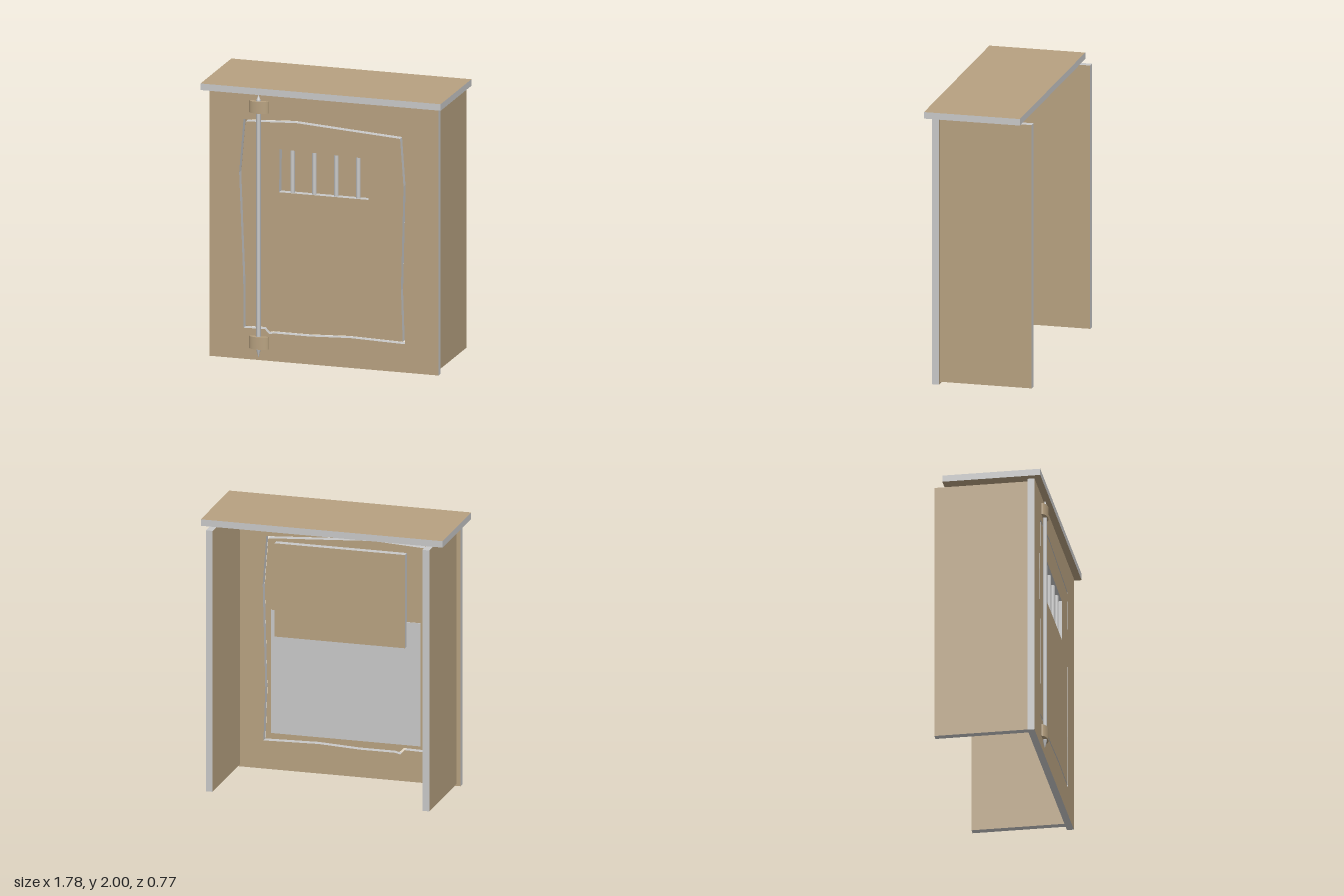
import * as THREE from 'three';

export function createModel() {
  const model = new THREE.Group();
  model.name = 'plywoodCellDoor';

  const wood = new THREE.MeshStandardMaterial({ color: 0xb7a180 });
  wood.name = 'plywood';
  const grey = new THREE.MeshStandardMaterial({ color: 0xc8c8c8 });
  grey.name = 'grey';

  const add = (name, geometry, material, x = 0, y = 0, z = 0) => {
    const mesh = new THREE.Mesh(geometry, material);
    mesh.name = name;
    mesh.position.set(x, y, z);
    model.add(mesh);
    return mesh;
  };

  // Board with wooden faces and grey cut edges; thin axis is 0 = x, 1 = y, 2 = z
  const board = (name, thin, x0, x1, y0, y1, z0, z1) => {
    const mats = Array.from({ length: 6 }, (_, i) => (Math.floor(i / 2) === thin ? wood : grey));
    return add(name, new THREE.BoxGeometry(x1 - x0, y1 - y0, z1 - z0), mats,
      (x0 + x1) / 2, (y0 + y1) / 2, (z0 + z1) / 2);
  };

  const toPoints = (list) => list.map(([x, y]) => new THREE.Vector2(x, y));

  // Mitred offset of a counter-clockwise outline; positive moves outwards
  const offset = (pts, d) => pts.map((p, i) => {
    const a = p.clone().sub(pts[(i + pts.length - 1) % pts.length]).normalize();
    const b = pts[(i + 1) % pts.length].clone().sub(p).normalize();
    const na = new THREE.Vector2(a.y, -a.x);
    const nb = new THREE.Vector2(b.y, -b.x);
    const m = na.clone().add(nb).normalize();
    return p.clone().addScaledVector(m, d / m.dot(na));
  });

  const BACK = 0.285, FRONT = 0.335;
  const cutPanel = (name, outline, hole) => {
    const shape = new THREE.Shape(outline);
    shape.holes.push(new THREE.Path(hole));
    const geometry = new THREE.ExtrudeGeometry(shape, { depth: FRONT - BACK, bevelEnabled: false });
    return add(name, geometry, [wood, grey], 0, 0, BACK);
  };

  // Rough saw cut separating the door from the front panel
  const cut = toPoints([
    [-0.582, 0.235], [-0.43, 0.238], [-0.397, 0.204], [-0.365, 0.212], [-0.1, 0.212],
    [0.2, 0.226], [0.598, 0.216], [0.585, 0.6], [0.604, 1.36], [0.578, 1.714],
    [0.2, 1.738], [-0.2, 1.764], [-0.583, 1.744], [-0.615, 1.36], [-0.585, 0.6],
  ]);
  const windowHole = toPoints([[-0.327, 1.24], [0.337, 1.24], [0.337, 1.54], [-0.322, 1.555]]);
  const frontOutline = toPoints([[-0.843, 0], [0.855, 0], [0.855, 1.952], [-0.843, 1.952]]);

  cutPanel('frontPanel', frontOutline, offset(cut, 0.008));
  cutPanel('door', offset(cut, -0.008), windowHole);

  // Roof and the two side walls
  board('roof', 1, -0.893, 0.888, 1.952, 2, -0.315, 0.385);
  board('rightWall', 0, -0.815, -0.765, 0.015, 1.945, -0.385, BACK);
  board('leftWall', 0, 0.78, 0.83, 0.015, 1.945, -0.385, BACK);

  // Backing behind the window and the grey sheet on the door's rear face
  board('windowBacking', 2, -0.45, 0.51, 1.0, 1.69, 0.235, BACK);
  add('rearSheet', new THREE.BoxGeometry(1.1, 0.91, 0.006), grey, 0, 0.725, BACK - 0.003);

  // Window bars
  for (const x of [-0.235, -0.073, 0.09, 0.253]) {
    add('windowBar', new THREE.CylinderGeometry(0.016, 0.016, 0.32, 20), grey, x, 1.395, 0.31);
  }

  // Hinge rod with pointed ends
  const rodX = -0.475, rodZ = 0.349;
  const rodProfile = toPoints([[0, 0.02], [0.016, 0.08], [0.016, 0.08], [0.016, 1.905],
    [0.016, 1.905], [0, 1.945]]);
  add('hingeRod', new THREE.LatheGeometry(rodProfile, 20), grey, rodX, 0, rodZ);

  // Curved straps holding the rod
  for (const [y0, y1] of [[0.085, 0.175], [1.81, 1.897]]) {
    const strap = new THREE.CylinderGeometry(1, 1, y1 - y0, 24, 1, false, -Math.PI / 2, Math.PI);
    strap.scale(0.073, 1, 0.037);
    add('hingeStrap', strap, wood, rodX, (y0 + y1) / 2, FRONT);
  }

  return model;
}
